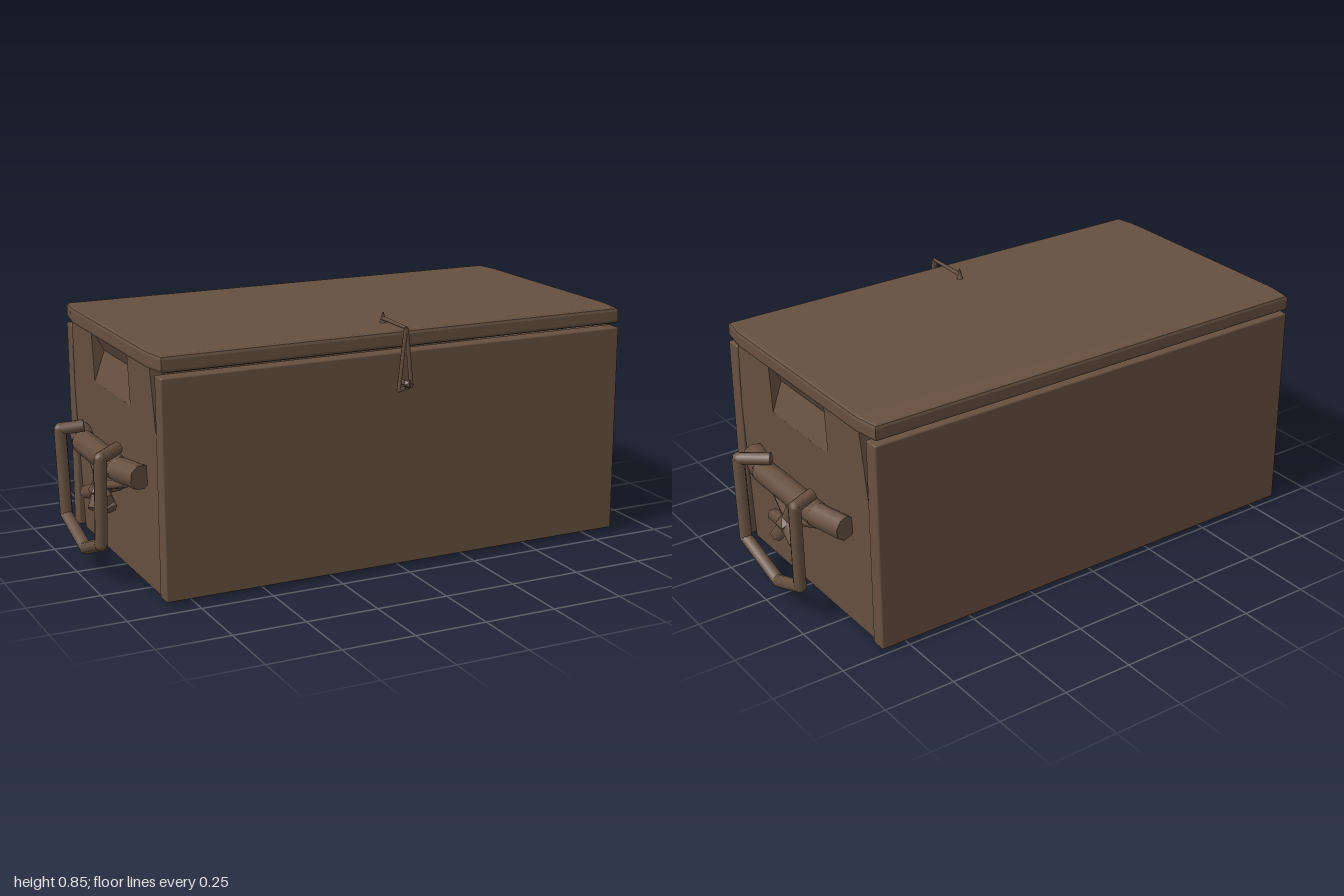
import * as THREE from 'three';
import { RoundedBoxGeometry } from 'three/addons/geometries/RoundedBoxGeometry.js';

const wood = new THREE.MeshStandardMaterial({ color: 0x665040, side: THREE.DoubleSide });
const V = (x, y, z) => new THREE.Vector3(x, y, z);

function add(parent, name, geometry) {
  const mesh = new THREE.Mesh(geometry, wood);
  mesh.name = name;
  parent.add(mesh);
  return mesh;
}

function board(parent, name, [x0, x1], [y0, y1], [z0, z1], r = 0.006) {
  const mesh = add(parent, name, new RoundedBoxGeometry(x1 - x0, y1 - y0, z1 - z0, 2, r));
  mesh.position.set((x0 + x1) / 2, (y0 + y1) / 2, (z0 + z1) / 2);
}

// Straight rod between two points, optionally tapered
function rod(parent, name, a, b, r0, r1 = r0, sides = 8) {
  const mesh = add(parent, name, new THREE.CylinderGeometry(r1, r0, a.distanceTo(b), sides));
  mesh.position.copy(a).lerp(b, 0.5);
  mesh.quaternion.setFromUnitVectors(V(0, 1, 0), b.clone().sub(a).normalize());
}

// Bent rod with a small ball filling each corner
function bentRod(parent, name, points, r, sides = 8) {
  const g = new THREE.Group();
  g.name = name;
  for (let i = 0; i < points.length - 1; i++) {
    rod(g, name + 'Segment', points[i], points[i + 1], r, r, sides);
    if (i) add(g, name + 'Corner', new THREE.SphereGeometry(r, sides, 6)).position.copy(points[i]);
  }
  parent.add(g);
}

function lid(parent) {
  // Plan with chamfered corners, edges softened by the bevel
  const half = [[0.835, -0.483], [0.849, -0.4], [0.849, 0.35], [0.835, 0.433]];
  const plan = [...half, ...half.map(([x, z]) => [-x, z]).reverse()];
  const shape = new THREE.Shape(plan.map(([x, z]) => new THREE.Vector2(x, -z)));
  const geo = new THREE.ExtrudeGeometry(shape, {
    depth: 0.032, bevelThickness: 0.012, bevelSize: 0.011, bevelSegments: 2,
  });
  add(parent, 'lid', geo.rotateX(-Math.PI / 2).translate(0, 0.777, 0));
}

function chestEnd(parent) {
  // End panel with an opening for the hand hold, leaning outward towards the top
  const outline = [
    [0.39, 0.003], [-0.437, 0.003], [-0.437, 0.52], [-0.41, 0.78],
    [-0.2, 0.78], [-0.2, 0.6], [0.155, 0.6], [0.155, 0.78], [0.365, 0.78], [0.39, 0.51],
  ];
  const thickness = 0.06;
  const panel = new THREE.ExtrudeGeometry(
    new THREE.Shape(outline.map(([z, y]) => new THREE.Vector2(-z, y))),
    { depth: thickness, bevelEnabled: false },
  ).rotateY(Math.PI / 2);
  const p = panel.attributes.position;
  for (let i = 0; i < p.count; i++) {
    const y = p.getY(i);
    const outer = 0.824 + 0.03 * y / 0.78;
    // The wall thins to a narrow lip at the bottom
    const wall = y < 0.1 ? 0.02 : thickness;
    p.setX(i, p.getX(i) > thickness / 2 ? outer : outer - wall);
  }
  panel.computeVertexNormals();
  add(parent, 'endPanel', panel);
  // V-shaped scoop of the hand hold
  const scoop = new THREE.Shape([[0.785, 0.6], [0.847, 0.6], [0.81, 0.705], [0.852, 0.782], [0.785, 0.782]]
    .map(([x, y]) => new THREE.Vector2(x, y)));
  add(parent, 'handHold', new THREE.ExtrudeGeometry(scoop, { depth: 0.355, bevelEnabled: false })
    .translate(0, 0, -0.2));
}

function carryHandle(parent) {
  // Cross bar bowed away from the end panel
  bentRod(parent, 'handleBar', [
    V(0.862, 0.392, 0.28), V(0.895, 0.392, 0.16), V(0.895, 0.392, -0.2), V(0.866, 0.392, -0.325),
  ], 0.042);
  // Five-sided swinging bail with hooked tops
  bentRod(parent, 'handleBail', [
    V(0.885, 0.452, 0.12), V(0.968, 0.447, 0.195), V(0.97, 0.15, 0.178), V(0.96, 0.075, -0.02),
    V(0.97, 0.145, -0.19), V(0.977, 0.448, -0.2), V(0.9, 0.458, -0.175),
  ], 0.022);
  // Cord knot hanging between the arms
  const c = V(0.905, 0.275, -0.01);
  rod(parent, 'knotCord', V(0.87, 0.335, 0.15), V(0.905, 0.285, -0.03), 0.014, 0.018, 6);
  rod(parent, 'knotCord', V(0.87, 0.338, -0.18), V(0.905, 0.28, 0.02), 0.017, 0.02, 6);
  const ends = [[0.9, 0.345, -0.035], [0.94, 0.22, 0.02], [0.91, 0.265, 0.085], [0.93, 0.245, -0.1], [0.89, 0.225, 0.06]];
  for (const e of ends) rod(parent, 'knotEnd', c, V(...e), 0.03, 0.021, 5);
  add(parent, 'knotCore', new THREE.IcosahedronGeometry(0.042, 0)).position.copy(c);
  rod(parent, 'knotPeg', V(0.825, 0.285, -0.01), c, 0.02);
}

function latch(parent) {
  const g = new THREE.Group();
  g.name = 'latch';
  // Pin on the lid and the cord reaching over the front edge
  rod(g, 'latchPin', V(-0.003, 0.818, 0.3), V(-0.003, 0.857, 0.302), 0.013, 0.002, 5);
  rod(g, 'latchArm', V(-0.003, 0.836, 0.3), V(-0.007, 0.836, 0.472), 0.008, 0.006, 6);
  // Long narrow loop
  bentRod(g, 'latchLoop', [
    V(-0.007, 0.836, 0.47), V(-0.03, 0.628, 0.466), V(0.016, 0.64, 0.468), V(-0.005, 0.836, 0.47),
  ], 0.007, 6);
  // Toggle through the loop
  rod(g, 'togglePeg', V(-0.007, 0.65, 0.44), V(-0.007, 0.65, 0.49), 0.008, 0.012, 6);
  add(g, 'toggleHead', new THREE.IcosahedronGeometry(0.016, 0)).position.set(-0.007, 0.651, 0.484);
  parent.add(g);
}

export function createModel() {
  const chest = new THREE.Group();
  chest.name = 'chest';
  board(chest, 'frontPanel', [-0.848, 0.848], [0.018, 0.752], [0.389, 0.446]);
  board(chest, 'backPanel', [-0.848, 0.848], [0.015, 0.752], [-0.492, -0.437]);
  board(chest, 'bottomBoard', [-0.812, 0.812], [0.016, 0.036], [-0.437, 0.391], 0.003);
  lid(chest);
  const left = new THREE.Group();
  left.name = 'leftEnd';
  chestEnd(left);
  carryHandle(left);
  const right = left.clone();
  right.name = 'rightEnd';
  right.scale.x = -1;
  chest.add(left, right);
  latch(chest);
  return chest;
}
